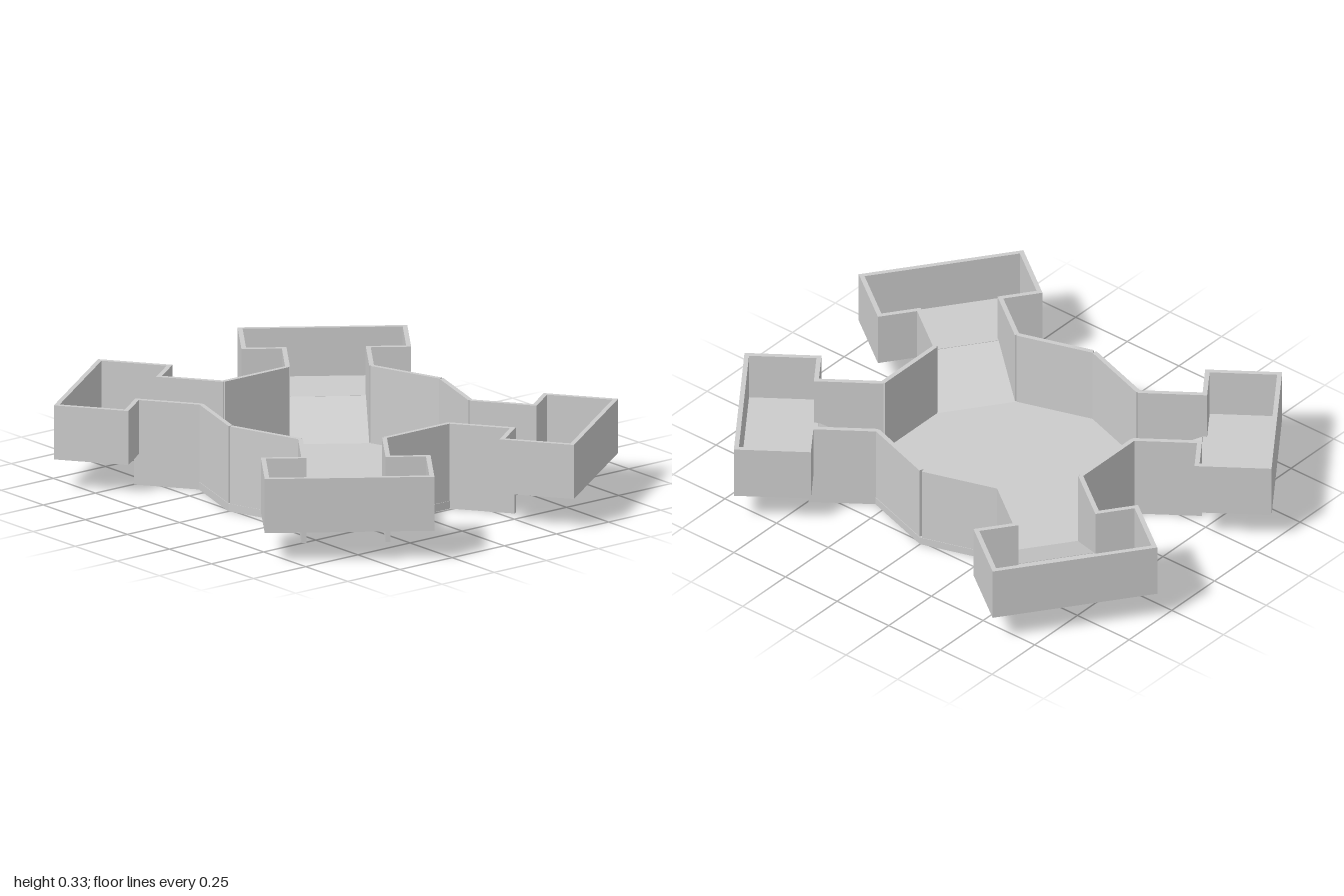
import * as THREE from 'three';

const TOP = 0.33, FLOOR = 0.03, ROOM_Y = 0.12; // wall top, hub floor top, room underside
const WALL = 0.018;                            // wall thickness
const APOTHEM = 0.488;                         // hub wall outer face
const HALL = 0.166;                            // hall half width
const NEAR = 0.717, FAR = 1.005, HALF = 0.317; // side room extents

const material = new THREE.MeshStandardMaterial({ color: 0xcccccc, flatShading: true });

function add(parent, name, geometry) {
  const mesh = new THREE.Mesh(geometry, material);
  mesh.name = name;
  parent.add(mesh);
  return mesh;
}

// Box given by its min and max on each axis
function block(parent, name, [x0, x1], [y0, y1], [z0, z1]) {
  const mesh = add(parent, name, new THREE.BoxGeometry(x1 - x0, y1 - y0, z1 - z0));
  mesh.position.set((x0 + x1) / 2, (y0 + y1) / 2, (z0 + z1) / 2);
  return mesh;
}

// Sloped slab rising outwards from the hub floor to the room floor
function rampGeometry() {
  const w = HALL - WALL, z0 = 0.47, z1 = NEAR;
  const geometry = new THREE.BoxGeometry(w * 2, 0.022, z1 - z0);
  geometry.translate(0, 0, (z0 + z1) / 2);
  const p = geometry.attributes.position;
  for (let i = 0; i < p.count; i++) {
    const t = (p.getZ(i) - z0) / (z1 - z0);
    p.setY(i, p.getY(i) + THREE.MathUtils.lerp(0.019, 0.131, t));
  }
  geometry.computeVertexNormals();
  return geometry;
}

// One arm, built along +z: hall with a ramp, then a raised room
function createArm() {
  const arm = new THREE.Group();
  arm.name = 'arm';
  add(arm, 'ramp', rampGeometry());
  block(arm, 'roomFloor', [-HALF + 0.002, HALF - 0.002], [ROOM_Y, 0.142], [NEAR + 0.002, FAR - 0.002]);
  block(arm, 'roomOuterWall', [-HALF, HALF], [ROOM_Y, TOP], [FAR - WALL, FAR]);
  for (const s of [-1, 1]) {
    const span = (a, b) => [Math.min(s * a, s * b), Math.max(s * a, s * b)];
    block(arm, 'hallWall', span(HALL - WALL, HALL), [0, TOP], [0.475, NEAR + WALL]);
    block(arm, 'roomInnerWall', span(HALL, HALF), [ROOM_Y, TOP], [NEAR, NEAR + WALL]);
    block(arm, 'roomSideWall', span(HALF - WALL, HALF), [ROOM_Y, TOP], [NEAR + WALL, FAR - WALL]);
  }
  return arm;
}

export function createModel() {
  const model = new THREE.Group();
  model.name = 'arena';

  // Ten-sided floor with corners on the z axis
  add(model, 'hubFloor', new THREE.CylinderGeometry(0.515, 0.515, FLOOR, 10)).position.y = FLOOR / 2;

  // Each side is either a plain wall or the mouth of an arm
  const length = 2 * (APOTHEM - WALL) * Math.tan(Math.PI / 10);
  const armSides = [1, 3, 6, 8];
  for (let i = 0; i < 10; i++) {
    let side;
    if (armSides.includes(i)) {
      side = createArm();
    } else {
      side = new THREE.Group();
      side.name = 'hubSide';
      block(side, 'hubWall', [-length / 2, length / 2], [0.01, TOP], [APOTHEM - WALL, APOTHEM]);
    }
    side.rotation.y = (i + 0.5) * Math.PI / 5;
    model.add(side);
  }
  return model;
}
